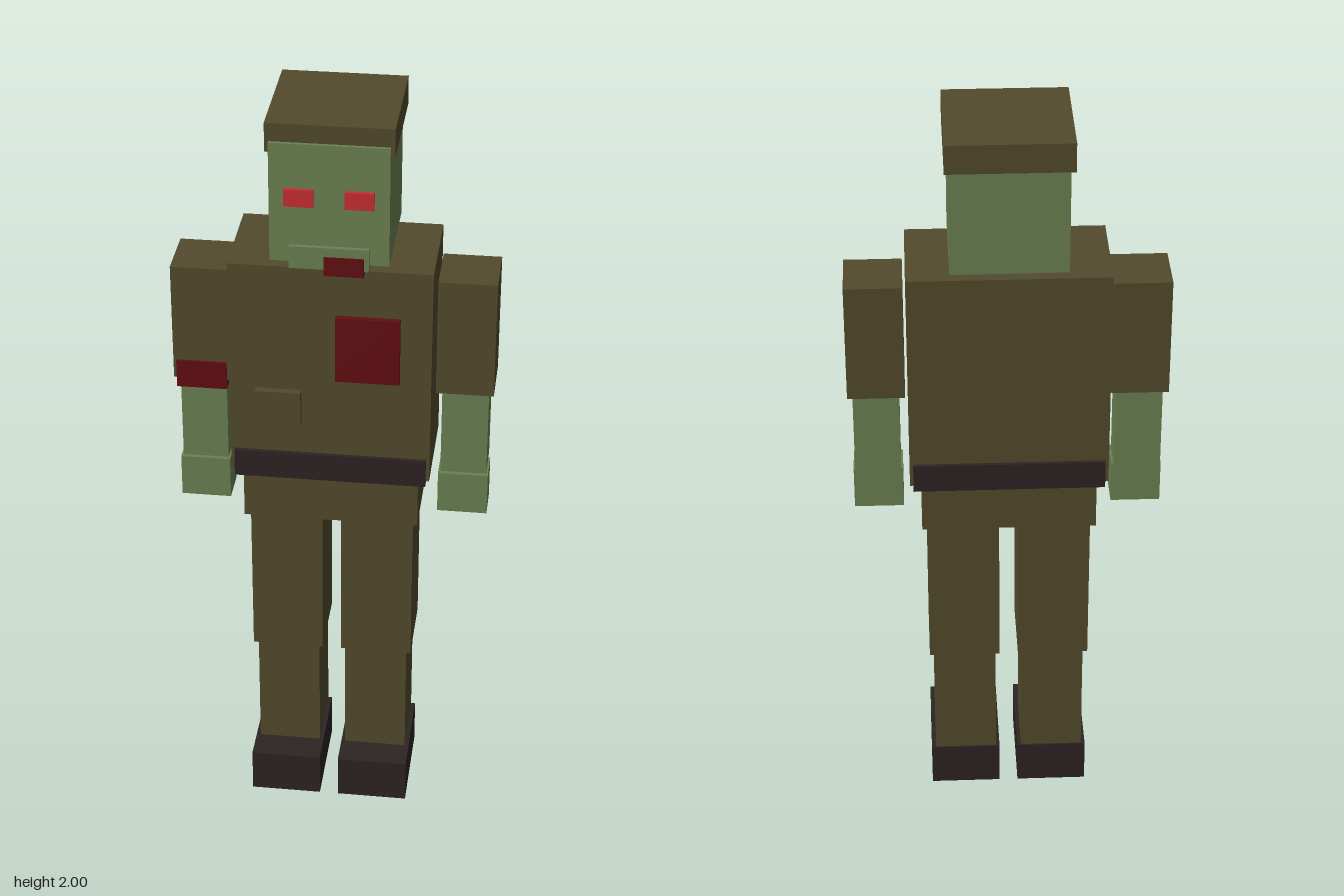
import * as THREE from 'three';

const paint = (name, color) => {
  const m = new THREE.MeshStandardMaterial({ color });
  m.name = name;
  return m;
};

export function createModel() {
  const model = new THREE.Group();
  model.name = 'blockyUndeadSoldier';

  const cloth = paint('olive cloth', 0x524b2c);
  const skin = paint('green skin', 0x6b8152);
  const leather = paint('dark leather', 0x2d2323);
  const blood = paint('dried blood', 0x610e10);
  const glow = paint('red eye', 0xc82d32);

  // Box given by its lower and upper bounds on each axis
  const block = (name, material, [x0, x1], [y0, y1], [z0, z1], parent = model) => {
    const mesh = new THREE.Mesh(new THREE.BoxGeometry(x1 - x0, y1 - y0, z1 - z0), material);
    mesh.position.set((x0 + x1) / 2, (y0 + y1) / 2, (z0 + z1) / 2);
    mesh.name = name;
    parent.add(mesh);
  };

  // Head
  const head = new THREE.Group();
  head.name = 'head';
  model.add(head);
  block('cap', cloth, [-0.157, 0.157], [1.925, 2], [-0.177, 0.138], head);
  block('skull', skin, [-0.147, 0.147], [1.64, 1.953], [-0.147, 0.147], head);
  block('jaw', skin, [-0.098, 0.098], [1.627, 1.686], [0.045, 0.158], head);
  block('mouthBlood', blood, [-0.012, 0.086], [1.612, 1.662], [0.147, 0.162], head);
  block('rightEye', glow, [-0.11, -0.038], [1.792, 1.837], [0.14, 0.157], head);
  block('leftEye', glow, [0.038, 0.11], [1.792, 1.837], [0.14, 0.157], head);
  block('neck', skin, [-0.07, 0.07], [1.6, 1.625], [-0.07, 0.075]);

  // Trunk
  block('torso', cloth, [-0.255, 0.255], [1.022, 1.618], [-0.137, 0.137]);
  block('belt', leather, [-0.246, 0.246], [1.01, 1.086], [-0.147, 0.147]);
  block('pelvis', cloth, [-0.226, 0.226], [0.877, 1.02], [-0.126, 0.128]);
  block('pocket', cloth, [-0.19, -0.073], [1.175, 1.27], [0.13, 0.156]);
  block('chestWound', blood, [0.015, 0.176], [1.31, 1.49], [0.13, 0.153]);

  // Limbs, mirrored across x
  for (const [side, s] of [['left', 1], ['right', -1]]) {
    const span = (a, b) => (s > 0 ? [a, b] : [-b, -a]);
    const arm = new THREE.Group();
    arm.name = side + 'Arm';
    block(side + 'Sleeve', cloth, span(0.262, 0.409), [1.25, 1.567], [-0.077, 0.077], arm);
    block(side + 'Forearm', skin, span(0.277, 0.396), [1.003, 1.25], [-0.054, 0.054], arm);
    block(side + 'Hand', skin, span(0.272, 0.401), [0.888, 1.003], [-0.026, 0.065], arm);

    const leg = new THREE.Group();
    leg.name = side + 'Leg';
    block(side + 'Thigh', cloth, span(0.025, 0.213), [0.447, 0.877], [-0.101, 0.104], leg);
    block(side + 'Shin', cloth, span(0.035, 0.201), [0.12, 0.447], [-0.092, 0.094], leg);
    block(side + 'Boot', leather, span(0.025, 0.212), [0, 0.121], [-0.096, 0.177], leg);
    model.add(arm, leg);
  }

  // Stain on the right cuff
  block('cuffBlood', blood, [-0.401, -0.272], [1.226, 1.302], [0.05, 0.083]);

  return model;
}
